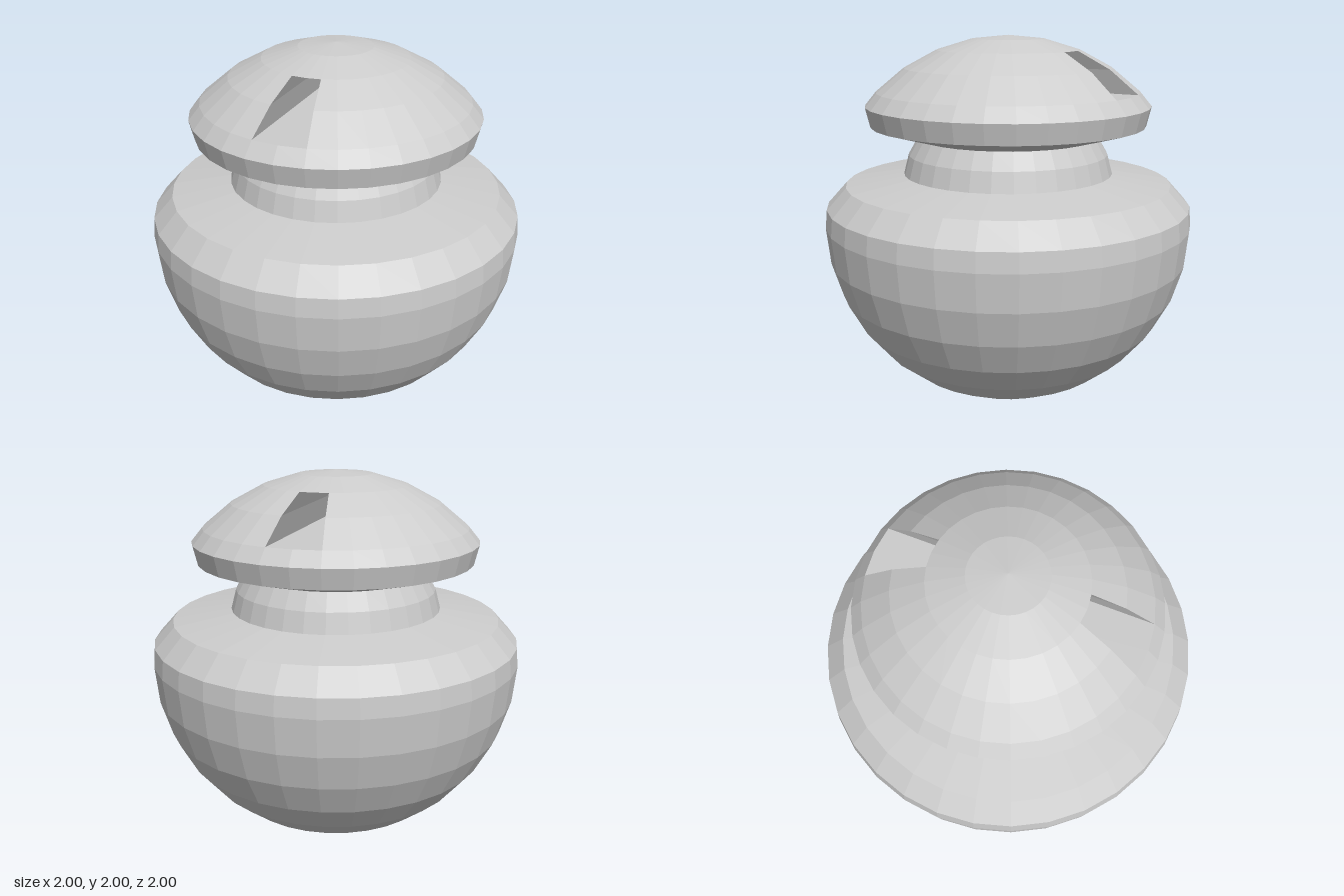
import * as THREE from 'three';

const SEGMENTS = 32;
const STEP = (Math.PI * 2) / SEGMENTS;

// Point on the unit ball's profile, k steps down from the top pole
const ballPoint = (k) => [Math.sin(k * STEP), 1 + Math.cos(k * STEP)];

// Turned, faceted solid; skip(column, row) leaves out single facets
function turned(profile, skip = () => false) {
  const lathe = new THREE.LatheGeometry(profile.map(([r, y]) => new THREE.Vector2(r, y)), SEGMENTS);
  const rows = profile.length - 1;
  const kept = [];
  for (let c = 0; c < SEGMENTS; c++) {
    for (let row = 0; row < rows; row++) {
      if (skip(c, row)) continue;
      const start = (c * rows + row) * 6;
      for (let k = 0; k < 6; k++) kept.push(lathe.index.getX(start + k));
    }
  }
  lathe.setIndex(kept);
  const geometry = lathe.toNonIndexed();
  geometry.computeVertexNormals();
  return geometry;
}

// Tunnel walls joining the front opening of the cap to the back one
function tunnel() {
  const at = (k, side) => {
    const [r, y] = ballPoint(k);
    return [r * Math.sin(side * STEP), y, r * Math.cos(side * STEP)];
  };
  const rim = [at(4, 1), at(3, 1), at(2, 1), at(2, 0), at(2, -1), at(3, -1), at(4, -1), at(4, 0)];
  const back = ([x, y, z]) => [x, y, -z];
  const positions = [];
  rim.forEach((p, i) => {
    const q = rim[(i + 1) % rim.length];
    positions.push(...p, ...q, ...back(p), ...q, ...back(q), ...back(p));
  });
  const geometry = new THREE.BufferGeometry();
  geometry.setAttribute('position', new THREE.Float32BufferAttribute(positions, 3));
  geometry.computeVertexNormals();
  return geometry;
}

export function createModel() {
  const group = new THREE.Group();
  const grey = new THREE.MeshStandardMaterial({ color: 0xcccccc });
  grey.name = 'plain grey';

  const add = (name, geometry) => {
    const mesh = new THREE.Mesh(geometry, grey);
    mesh.name = name;
    group.add(mesh);
  };

  // Round bowl with a bevelled shoulder
  const bowl = [];
  for (let k = 16; k >= 8; k--) bowl.push(ballPoint(k));
  bowl[0][0] = 0;
  add('body', turned([...bowl, [0.99, 1.1], [0.885, 1.215], [0.57, 1.265]]));

  // Rounded neck
  add('neck', turned([[0.57, 1.265], [0.542, 1.37], [0.49, 1.46]]));

  // Domed cap, open at front and back between its second and fourth rings
  const dome = [4, 3, 2, 1, 0].map(ballPoint);
  const openColumns = [0, SEGMENTS - 1, SEGMENTS / 2 - 1, SEGMENTS / 2];
  add('cap', turned(
    [[0.49, 1.46], [0.742, 1.53], [0.767, 1.635], ...dome],
    (column, row) => openColumns.includes(column) && (row === 3 || row === 4),
  ));
  add('capTunnel', tunnel());

  return group;
}
